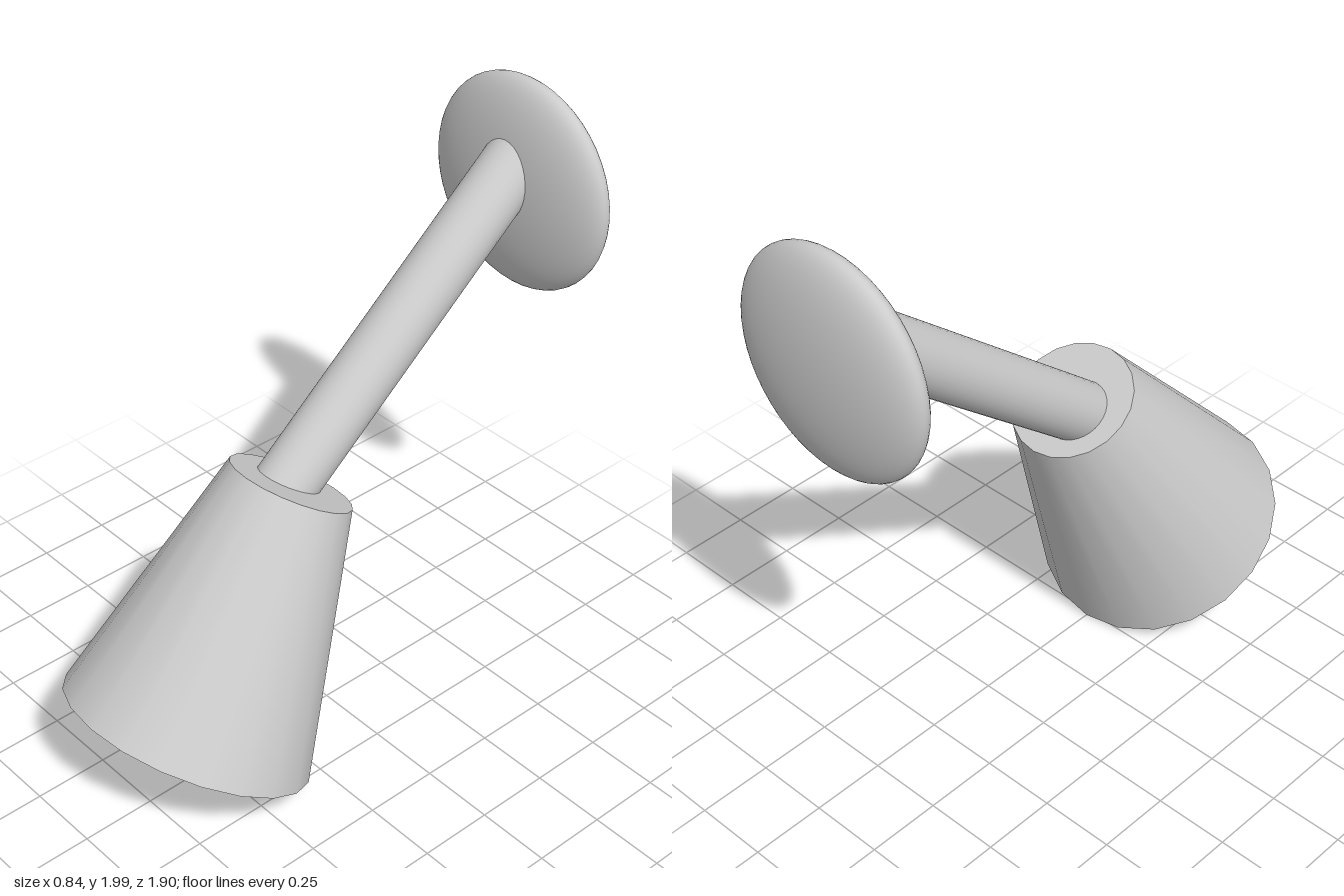
import * as THREE from 'three';

const SIDES = 20;
const grey = new THREE.MeshStandardMaterial({ color: 0xcccccc });
const facetedGrey = new THREE.MeshStandardMaterial({ color: 0xcccccc, flatShading: true });

// One band of a turned surface; separate bands keep the edges between them sharp.
function band(name, from, to, material = grey) {
  const points = [new THREE.Vector2(...from), new THREE.Vector2(...to)];
  const mesh = new THREE.Mesh(new THREE.LatheGeometry(points, SIDES), material);
  mesh.name = name;
  return mesh;
}

export function createModel() {
  const model = new THREE.Group();
  model.name = 'wallSpotlight';

  // Conical shade, tilted forward; its origin is the middle of the open rim.
  const height = 0.867, rim = 0.42, neck = 0.206, lens = 0.35, recess = 0.048;
  const shade = new THREE.Group();
  shade.name = 'shade';
  shade.add(
    band('shadeWall', [rim, 0], [neck, height]),
    band('shadeTop', [neck, height], [0, height]),
    band('lens', [0, recess], [lens, recess]),
    band('innerRim', [lens, recess], [rim, 0], facetedGrey),
  );
  shade.position.set(0, 0.221, 0.59);
  shade.rotation.x = -0.538;
  model.add(shade);

  // Straight arm from inside the wall plate into the shade top.
  const start = new THREE.Vector3(-0.033, 1.752, -0.85);
  const end = new THREE.Vector3(-0.033, 0.893, 0.2);
  const along = end.clone().sub(start);
  const arm = new THREE.Mesh(new THREE.CylinderGeometry(0.102, 0.102, along.length(), 32), grey);
  arm.name = 'arm';
  arm.position.copy(start).lerp(end, 0.5);
  arm.quaternion.setFromUnitVectors(new THREE.Vector3(0, 1, 0), along.normalize());
  model.add(arm);

  // Flattened round wall plate.
  const plateGeometry = new THREE.SphereGeometry(1, 48, 32);
  plateGeometry.rotateX(Math.PI / 2);
  plateGeometry.scale(0.363, 0.363, 0.097);
  const plate = new THREE.Mesh(plateGeometry, grey);
  plate.name = 'wallPlate';
  plate.position.set(-0.033, 1.637, -0.849);
  model.add(plate);

  return model;
}
